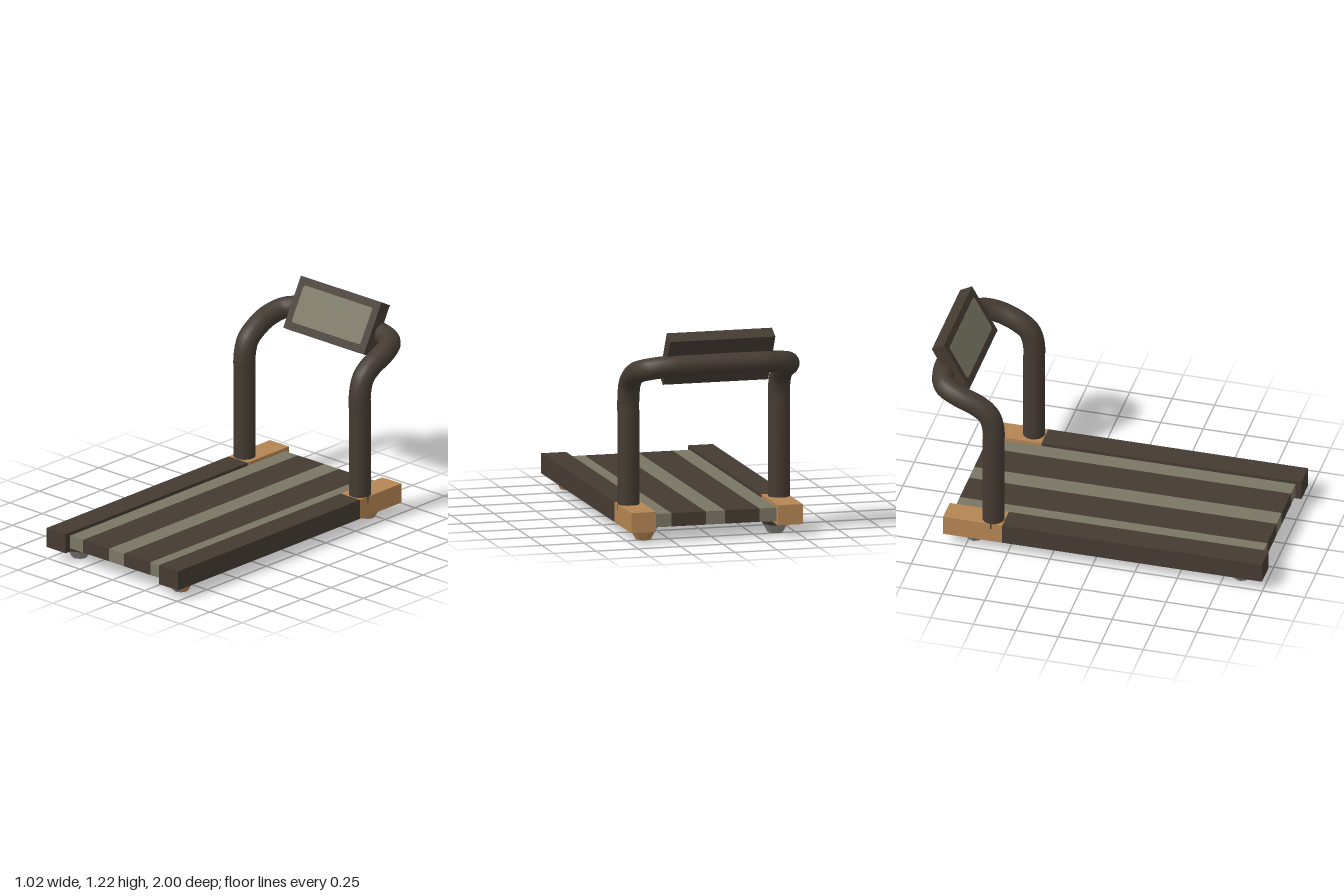
import * as THREE from 'three';

const mat = (name, color, side = THREE.FrontSide) => {
  const m = new THREE.MeshStandardMaterial({ color, side });
  m.name = name;
  return m;
};

export function createModel() {
  const dark = mat('dark frame', 0x443b32);
  const light = mat('olive grey', 0x7a7664);
  const tan = mat('tan', 0xb58553);
  const grey = mat('pale grey', 0x8d8a87);
  const root = new THREE.Group();
  root.name = 'treadmill';

  const add = (name, geometry, material, parent = root) => {
    const mesh = new THREE.Mesh(geometry, material);
    mesh.name = name;
    parent.add(mesh);
    return mesh;
  };
  // box given by its lower and upper corners
  const box = (name, a, b, material) => {
    const g = new THREE.BoxGeometry(b[0] - a[0], b[1] - a[1], b[2] - a[2]);
    g.translate((a[0] + b[0]) / 2, (a[1] + b[1]) / 2, (a[2] + b[2]) / 2);
    return add(name, g, material);
  };

  // running belt, in lengthwise stripes
  const edges = [-0.365, -0.26, -0.057, 0.057, 0.26, 0.365];
  for (let i = 0; i < 5; i++) {
    box('beltStripe', [edges[i], 0.088, -0.845], [edges[i + 1], 0.165, 0.965], i % 2 ? dark : light);
  }

  // side rails with tan rear blocks, and tapered feet
  for (const s of [-1, 1]) {
    const x0 = s > 0 ? 0.36 : -0.507;
    const x1 = s > 0 ? 0.507 : -0.36;
    box('sideRail', [x0, 0.068, -0.53], [x1, 0.184, 1], dark);
    box('rearBlock', [x0, 0.068, -0.878], [x1, 0.184, -0.53], tan);

    for (const z of [0.85, -0.72]) {
      const foot = new THREE.Group();
      foot.name = 'foot';
      foot.position.set(s * 0.39, 0, z);
      root.add(foot);
      const main = s > 0 ? tan : grey;
      const collar = new THREE.CylinderGeometry(0.084, 0.074, 0.02, 8, 1).toNonIndexed();
      collar.translate(0, 0.06, 0);
      collar.computeVertexNormals();
      add('footCollar', collar, dark, foot);
      // front quarter is grey, the remainder takes the side's own colour
      const cone = (start, length, seg, m) => {
        const g = new THREE.CylinderGeometry(0.074, 0.045, 0.05, seg, 1, true, start, length);
        g.translate(0, 0.025, 0);
        const flat = g.toNonIndexed();
        flat.computeVertexNormals();
        add('footCone', flat, m, foot);
      };
      cone(-Math.PI / 4, Math.PI / 2, 2, grey);
      cone(Math.PI / 4, Math.PI * 1.5, 6, main);
      const sole = new THREE.CircleGeometry(0.045, 8);
      sole.rotateX(Math.PI / 2);
      add('footSole', sole, main, foot);
    }
  }

  // one continuous tube: upright, bend, crossbar and back down
  const half = [
    [0.445, 0.15, -0.597], [0.445, 0.45, -0.597], [0.445, 0.68, -0.597],
    [0.445, 0.8, -0.598], [0.445, 0.885, -0.625], [0.445, 0.938, -0.69],
    [0.443, 0.985, -0.8], [0.405, 1.015, -0.893], [0.3, 1.032, -0.93], [0.15, 1.035, -0.935],
  ];
  const mirrored = half.map(([x, y, z]) => [-x, y, z]).reverse();
  const path = new THREE.CatmullRomCurve3(
    [...half, ...mirrored].map((p) => new THREE.Vector3(...p)), false, 'centripetal');
  add('handleFrame', new THREE.TubeGeometry(path, 110, 0.063, 16), dark);

  // tilted console with a thin screen plate
  const panel = new THREE.Group();
  panel.name = 'console';
  panel.position.set(0, 1.068, -0.886);
  panel.rotation.x = -0.5;
  root.add(panel);
  add('consoleBody', new THREE.BoxGeometry(0.622, 0.313, 0.08), dark, panel);

  const w = 0.265, h = 0.111, r = 0.014;
  const shape = new THREE.Shape();
  shape.absarc(w - r, h - r, r, 0, Math.PI / 2);
  shape.absarc(-w + r, h - r, r, Math.PI / 2, Math.PI);
  shape.absarc(-w + r, -h + r, r, Math.PI, Math.PI * 1.5);
  shape.absarc(w - r, -h + r, r, Math.PI * 1.5, Math.PI * 2);
  const screen = new THREE.ExtrudeGeometry(shape, { depth: 0.004, bevelEnabled: false, curveSegments: 4 });
  add('screen', screen, light, panel).position.z = 0.039;

  return root;
}
